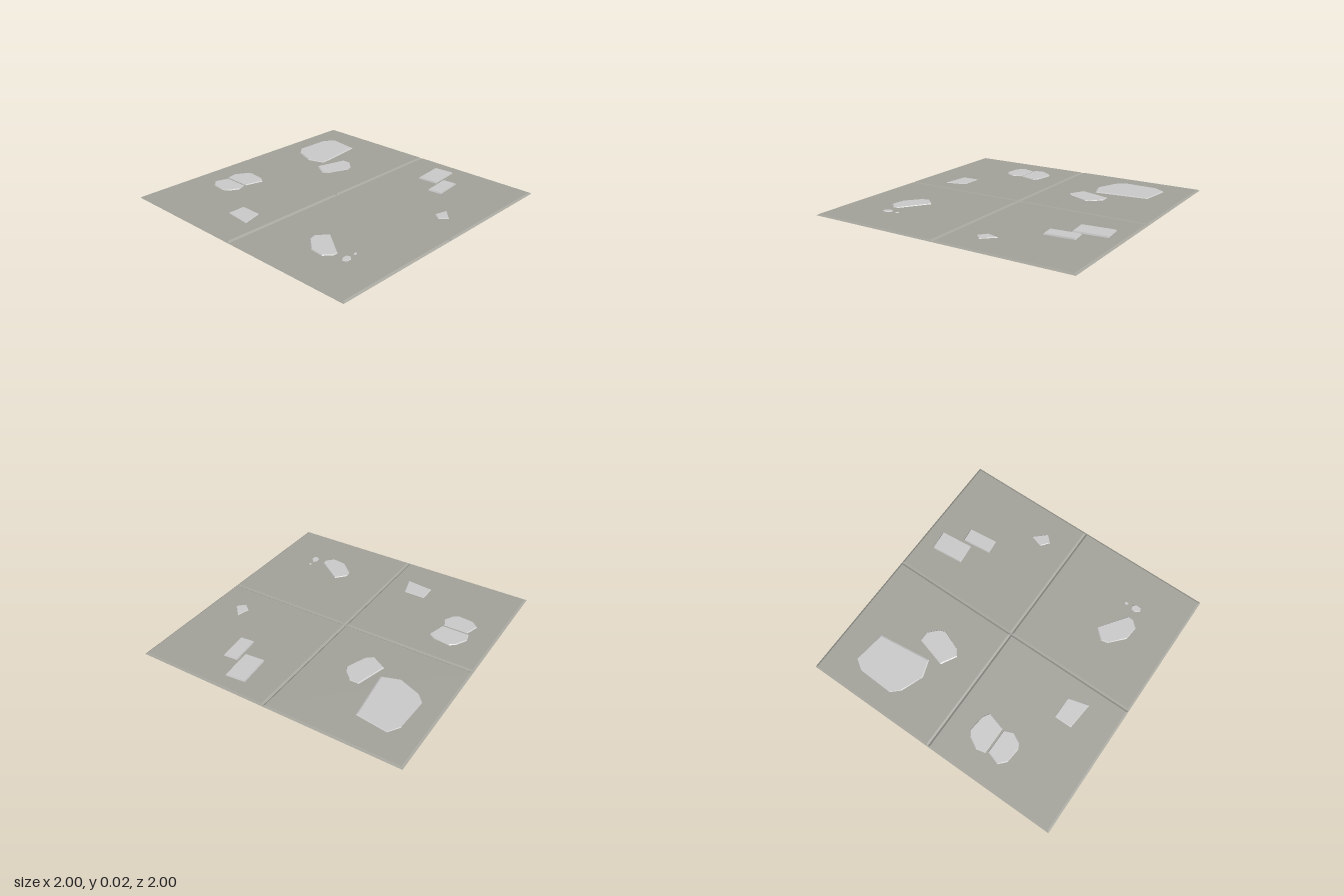
import * as THREE from 'three';

const TILE_TOP = 0.01;

// Open-bottomed slab: outline as flat x, z pairs (clockwise seen from above),
// with the top ring pulled towards the centre by `inset` and slid along z.
function slab(outline, y0, y1, inset, slideZ = 0) {
  const base = [];
  for (let i = 0; i < outline.length; i += 2) base.push(new THREE.Vector3(outline[i], y0, outline[i + 1]));
  const n = base.length;
  const centre = base.reduce((sum, p) => sum.add(p), new THREE.Vector3()).divideScalar(n);
  const top = base.map((p) => {
    const d = p.clone().sub(centre);
    const q = centre.clone().addScaledVector(d, 1 - inset / d.length());
    return q.set(q.x, y1, q.z + slideZ);
  });
  const tris = [];
  for (let i = 0; i < n; i++) {
    const j = (i + 1) % n;
    tris.push(base[i], top[i], top[j], base[i], top[j], base[j]);
    if (i > 0 && i < n - 1) tris.push(top[0], top[i + 1], top[i]);
  }
  const geometry = new THREE.BufferGeometry().setFromPoints(tris);
  geometry.computeVertexNormals();
  return geometry;
}

// Regular outline fitted to a width and depth, then turned; 4 sides give a rectangle
function regular(cx, cz, width, depth, sides, turn) {
  const points = [];
  const reach = 0.5 / Math.cos(Math.PI / sides);
  for (let i = 0; i < sides; i++) {
    const a = ((i + 0.5) / sides) * Math.PI * 2;
    const p = new THREE.Vector2(Math.cos(a) * width * reach, Math.sin(a) * depth * reach);
    p.rotateAround(new THREE.Vector2(), turn);
    points.push(cx + p.x, cz + p.y);
  }
  return points;
}

export function createModel() {
  const group = new THREE.Group();
  group.name = 'pavedFloor';
  const material = (color) => new THREE.MeshStandardMaterial({ color, flatShading: true, side: THREE.DoubleSide });
  const tileMaterial = material(0xa4a49c);
  const stoneMaterial = material(0xcccccc);

  // Four square tiles with bevelled rims
  const tileGeometry = slab(regular(0, 0, 1, 1, 4, 0), 0, TILE_TOP, 0.02);
  for (const x of [-0.5, 0.5]) {
    for (const z of [-0.5, 0.5]) {
      const tile = new THREE.Mesh(tileGeometry, tileMaterial);
      tile.name = `${z < 0 ? 'back' : 'front'}${x < 0 ? 'Right' : 'Left'}Tile`;
      tile.position.set(x, 0, z);
      group.add(tile);
    }
  }

  const addStone = (name, outline, height, inset = 0.008, slideZ = 0) => {
    const stone = new THREE.Mesh(slab(outline, TILE_TOP - 0.001, height, inset, slideZ), stoneMaterial);
    stone.name = name;
    group.add(stone);
  };

  // Pair of stones split by a narrow crack
  addStone('pairedStoneRight',
    [-0.465, -0.826, -0.364, -0.794, -0.364, -0.607, -0.428, -0.58, -0.503, -0.618, -0.524, -0.66, -0.513, -0.773], 0.015);
  addStone('pairedStoneLeft',
    [-0.353, -0.81, -0.283, -0.826, -0.198, -0.778, -0.171, -0.74, -0.187, -0.612, -0.219, -0.564, -0.353, -0.602], 0.015);

  // Single irregular stones
  addStone('largeStone',
    [0.449, -0.848, 0.717, -0.837, 0.797, -0.783, 0.765, -0.543, 0.364, -0.495, 0.321, -0.623, 0.385, -0.789],
    0.015, 0.01, -0.006);
  addStone('mediumStone',
    [0.278, -0.479, 0.508, -0.414, 0.508, -0.345, 0.444, -0.275, 0.401, -0.259, 0.251, -0.318, 0.214, -0.366],
    0.015, 0.008, 0.004);
  addStone('longStone',
    [-0.61, 0.34, -0.556, 0.329, -0.481, 0.398, -0.626, 0.602, -0.663, 0.602, -0.717, 0.553, -0.706, 0.447], 0.015);
  addStone('squareStone', [-0.733, -0.329, -0.599, -0.329, -0.599, -0.163, -0.754, -0.12], 0.013);
  addStone('smallStone', [0.225, 0.706, 0.321, 0.735, 0.23, 0.821, 0.176, 0.767], 0.013);

  // Pebbles
  addStone('pebble', regular(-0.637, 0.685, 0.07, 0.052, 6, -0.3), 0.013, 0.005);
  addStone('tinyPebble', regular(-0.556, 0.682, 0.03, 0.02, 6, -0.3), 0.013, 0.004);

  // Bricks
  addStone('backBrick', regular(0.766, 0.314, 0.247, 0.152, 4, -0.09), 0.02);
  addStone('frontBrick', regular(0.624, 0.477, 0.222, 0.107, 4, -0.1), 0.02);

  return group;
}
